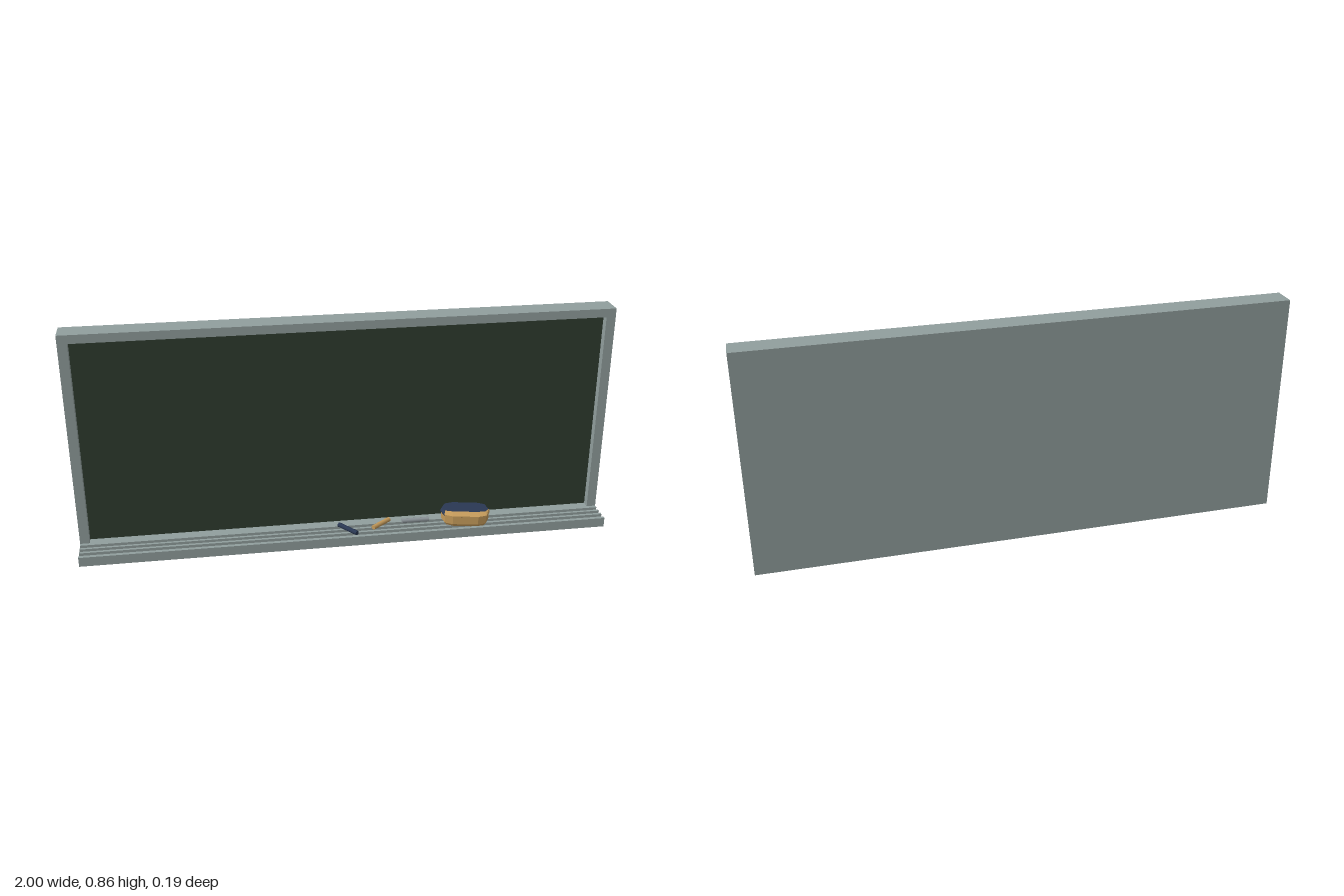
import * as THREE from 'three';

const mat = (name, color) => {
  const m = new THREE.MeshStandardMaterial({ color });
  m.name = name;
  return m;
};

export function createModel() {
  const root = new THREE.Group();
  root.name = 'chalkboard';
  const frameGrey = mat('frame grey', 0x919e9d);
  const boardGreen = mat('board green', 0x2e3b2f);
  const tan = mat('tan', 0xc49a5a);
  const navy = mat('navy', 0x2a3853);
  const chalkGrey = mat('chalk grey', 0x8c9499);

  const add = (name, geometry, material, x = 0, y = 0, z = 0) => {
    const m = new THREE.Mesh(geometry, material);
    m.name = name;
    m.position.set(x, y, z);
    root.add(m);
    return m;
  };
  const polygon = (pts) => new THREE.Shape(pts.map(([a, b]) => new THREE.Vector2(a, b)));

  // Frame: solid backing with a raised rim around the recessed board
  const H = 0.855, back = -0.095, face = -0.007, floor = -0.04;
  add('backing', new THREE.BoxGeometry(2, H, floor - back), frameGrey, 0, H / 2, (floor + back) / 2);
  const rim = polygon([[-1, 0], [1, 0], [1, H], [-1, H]]);
  rim.holes.push(polygon([[-0.965, 0.037], [-0.965, 0.823], [0.965, 0.823], [0.965, 0.037]]));
  add('frameRim', new THREE.ExtrudeGeometry(rim, { depth: face - floor, bevelEnabled: false }), frameGrey, 0, 0, floor);
  add('writingSurface', new THREE.BoxGeometry(1.93, 0.786, 0.004), boardGreen, 0, 0.43, floor + 0.002);

  // Tray: profile with three grooves, extruded along x
  const top = 0.037, low = 0.025;
  const profile = [[face, 0], [0.095, 0], [0.095, top]];
  for (const [a, b] of [[0.081, 0.063], [0.052, 0.035], [0.025, 0.007]]) {
    profile.push([a, top], [a, low], [b, low], [b, top]);
  }
  profile.push([face, top]);
  const tray = new THREE.ExtrudeGeometry(polygon(profile), { depth: 2, bevelEnabled: false });
  tray.rotateY(-Math.PI / 2);
  add('chalkTray', tray, frameGrey, 1, 0, 0);

  // Chalk sticks lying on the tray
  const chalk = (name, material, x, z, length, turn) => {
    const g = new THREE.CylinderGeometry(0.009, 0.009, length, 8);
    g.rotateZ(Math.PI / 2);
    const m = add(name, g, material, x, 0.045, z);
    m.material.flatShading = false;
    m.rotation.y = turn;
  };
  chalk('navyChalk', navy, 0, 0.043, 0.094, -0.9);
  chalk('tanChalk', tan, 0.132, 0.021, 0.09, 0.66);
  chalk('greyChalk', chalkGrey, 0.267, 0.014, 0.105, 0);

  // Eraser: stacked cross-sections, tan body with navy top
  const outline = [[0.095, 0], [0.081, 0.04], [0.05, 0.052], [-0.05, 0.052], [-0.081, 0.04],
    [-0.095, 0], [-0.081, -0.04], [-0.05, -0.052], [0.05, -0.052], [0.081, -0.04]];
  const loop = (y, s, frontInset = 0) => outline.map(([x, z]) =>
    [x * s, y, z * s - (z > 0 ? frontInset * z / 0.052 : 0)]);
  const loops = [loop(0.036, 0.88), loop(0.046, 0.96), loop(0.075, 0.97),
    loop(0.076, 1), loop(0.081, 1), loop(0.088, 0.95, 0.024)];
  const tanTris = [], navyTris = [];
  const n = outline.length;
  for (let k = 0; k < loops.length - 1; k++) {
    for (let i = 0; i < n; i++) {
      const j = (i + 1) % n, a = loops[k], b = loops[k + 1];
      const front = i < 4;
      (k < 2 || front ? tanTris : navyTris).push(...a[i], ...b[i], ...a[j], ...a[j], ...b[i], ...b[j]);
    }
  }
  const last = loops[loops.length - 1];
  for (let i = 0; i < n; i++) {
    const j = (i + 1) % n;
    navyTris.push(0, 0.088, 0, ...last[j], ...last[i]);
    tanTris.push(0, 0.036, 0, ...loops[0][i], ...loops[0][j]);
  }
  for (const [name, tris, material] of [['eraserBody', tanTris, tan], ['eraserTop', navyTris, navy]]) {
    const g = new THREE.BufferGeometry();
    g.setAttribute('position', new THREE.Float32BufferAttribute(tris, 3));
    g.computeVertexNormals();
    add(name, g, material, 0.458, 0, 0.03).rotation.y = -0.19;
  }
  return root;
}
